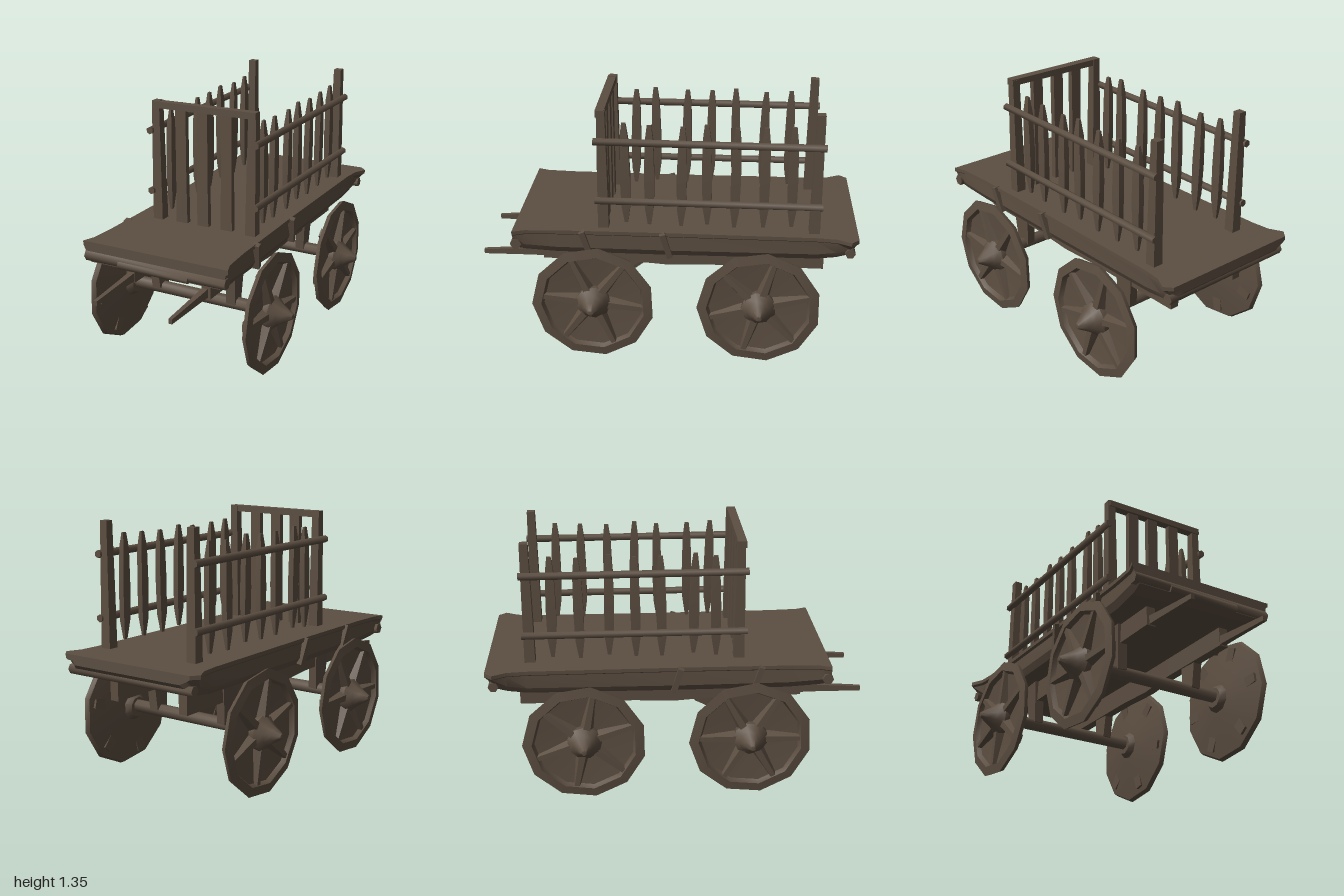
import * as THREE from 'three';
import { toCreasedNormals } from 'three/addons/utils/BufferGeometryUtils.js';

const wood = new THREE.MeshStandardMaterial({ color: 0x5c4e41 });
wood.name = 'dark weathered wood';

function add(parent, name, geometry, crease = 0.7) {
  const mesh = new THREE.Mesh(toCreasedNormals(geometry, crease), wood);
  mesh.name = name;
  parent.add(mesh);
  return mesh;
}

// Closed solid through equal-length outlines, each counter-clockwise seen from +z
function loft(sections) {
  const n = sections[0].length, last = sections.length - 1, index = [];
  for (let s = 0; s < last; s++) {
    for (let i = 0; i < n; i++) {
      const j = (i + 1) % n, a = s * n + i, b = s * n + j;
      index.push(a, b, b + n, a, b + n, a + n);
    }
  }
  for (let i = 1; i < n - 1; i++) {
    index.push(0, i + 1, i, last * n, last * n + i, last * n + i + 1);
  }
  const g = new THREE.BufferGeometry();
  g.setAttribute('position', new THREE.Float32BufferAttribute(sections.flat(2), 3));
  g.setIndex(index);
  return g;
}

// Timber between two points; stations are [position 0..1, width, depth]
function timber(parent, name, a, b, stations) {
  const start = new THREE.Vector3(...a), dir = new THREE.Vector3(...b).sub(start);
  const len = dir.length();
  const g = loft(stations.map(([t, w, d]) => [
    [-w / 2, -d / 2, t * len], [w / 2, -d / 2, t * len],
    [w / 2, d / 2, t * len], [-w / 2, d / 2, t * len],
  ]));
  g.applyQuaternion(new THREE.Quaternion().setFromUnitVectors(
    new THREE.Vector3(0, 0, 1), dir.normalize()));
  g.translate(...a);
  return add(parent, name, g, 0.5);
}

function pole(parent, name, a, b, r0, r1 = r0, sides = 6) {
  const p = new THREE.Vector3(...a), d = new THREE.Vector3(...b).sub(p);
  const g = new THREE.CylinderGeometry(r1, r0, d.length(), sides);
  g.applyQuaternion(new THREE.Quaternion().setFromUnitVectors(
    new THREE.Vector3(0, 1, 0), d.clone().normalize()));
  g.translate(...p.addScaledVector(d, 0.5).toArray());
  return add(parent, name, g, 1.2);
}

const lathe = (points, sides) =>
  new THREE.LatheGeometry(points.map(([r, h]) => new THREE.Vector2(r, h)), sides);

// Dished wheel with raised rim, spokes and pointed hub; local +y is outward
function makeWheel(side) {
  const wheel = new THREE.Group();
  wheel.name = 'wheel';
  add(wheel, 'dish and rim', lathe([
    [0, -0.055], [0.1, -0.05], [0.315, -0.012], [0.325, 0.012], [0.275, 0.02],
    [0.262, -0.004], [0.1, -0.02], [0, -0.02],
  ], 11), 0.6);
  add(wheel, 'hub', lathe([
    [0, -0.08], [0.055, -0.08], [0.09, -0.035], [0.093, 0.01],
    [0.06, 0.045], [0.038, 0.08], [0.014, 0.118], [0, 0.122],
  ], 9), 0.7);
  for (let i = 0; i < 6; i++) {
    const a = (i / 6) * Math.PI * 2 + 0.3, c = Math.cos(a), s = Math.sin(a);
    const spoke = loft([[0.06, 0.026, 0.02], [0.28, 0.017, 0.014]].map(([r, w, h]) => [
      [-w * 1.5, -0.03, r], [w * 1.5, -0.03, r], [w * 0.7, h, r], [-w * 0.7, h, r],
    ]));
    spoke.rotateY(Math.atan2(c, s));
    add(wheel, 'spoke', spoke, 0.5);
  }
  wheel.rotation.z = -side * Math.PI / 2;
  return wheel;
}

export function createModel() {
  const cart = new THREE.Group();
  cart.name = 'cart';

  // Bed: z, rim half width, side half width, underside height
  const bed = [
    [-0.99, 0.39, 0.35, 0.66], [-0.95, 0.425, 0.38, 0.615], [-0.88, 0.39, 0.37, 0.59],
    [-0.78, 0.38, 0.365, 0.575], [0, 0.375, 0.365, 0.57], [0.58, 0.38, 0.37, 0.575],
    [0.74, 0.39, 0.38, 0.59], [0.8, 0.412, 0.39, 0.605],
  ].map(([z, w, v, y]) => [
    [-v + 0.02, y, z], [v - 0.02, y, z], [v, y + 0.035, z], [w - 0.012, 0.683, z],
    [w, 0.692, z], [w, 0.712, z], [-w, 0.712, z], [-w, 0.692, z],
    [-w + 0.012, 0.683, z], [-v, y + 0.035, z],
  ]);
  add(cart, 'bed', loft(bed), 0.45);
  pole(cart, 'front end beam', [-0.4, 0.635, 0.785], [0.4, 0.635, 0.785], 0.03);
  pole(cart, 'front handle bar', [-0.2, 0.623, 0.8], [0.2, 0.623, 0.8], 0.022);
  pole(cart, 'rear end beam', [-0.39, 0.63, -0.95], [0.39, 0.63, -0.95], 0.027);

  for (const side of [-1, 1]) {
    // Straps on the sides of the bed
    for (const z of [0.42, 0]) {
      timber(cart, 'side strap', [side * 0.365, 0.57, z - 0.02], [side * 0.382, 0.71, z + 0.02],
        [[0, 0.035, 0.03], [1, 0.035, 0.03]]);
    }
    // Undercarriage and pulling shafts
    timber(cart, 'under beam', [side * 0.22, 0.515, -0.83], [side * 0.22, 0.525, 0.67],
      [[0, 0.05, 0.11], [0.4, 0.05, 0.11], [0.55, 0.05, 0.13], [0.7, 0.05, 0.1], [1, 0.05, 0.1]]);
    timber(cart, 'shaft', [side * 0.215, 0.51, 0.55], [side * 0.212, 0.49, 1],
      [[0, 0.04, 0.06], [0.4, 0.03, 0.04], [1, 0.02, 0.025]]);
    for (const z of [0.38, -0.49]) {
      timber(cart, 'axle brace', [side * 0.222, 0.34, z], [side * 0.235, 0.58, z],
        [[0, 0.05, 0.08], [1, 0.05, 0.12]]);
    }
  }

  // Axles and wheels
  for (const z of [0.38, -0.49]) {
    pole(cart, 'axle', [-0.4, 0.335, z], [0.4, 0.335, z], 0.034, 0.034, 7);
    for (const side of [-1, 1]) {
      const wheel = makeWheel(side);
      wheel.position.set(side * 0.445, 0.328, z);
      wheel.rotation.x = z + side;
      wheel.rotation.order = 'ZXY';
      wheel.rotation.set(0, z * 2 + side, -side * Math.PI / 2);
      cart.add(wheel);
    }
  }

  // Side fences: corner posts, two rails and pointed pales
  const cage = new THREE.Group();
  cage.name = 'cage';
  cart.add(cage);
  const post = [[0, 0.056, 0.056], [0.5, 0.05, 0.05], [1, 0.042, 0.042]];
  const pale = [[0, 0.012, 0.018], [0.18, 0.03, 0.046], [0.5, 0.032, 0.052],
    [0.85, 0.03, 0.042], [1, 0.012, 0.022]];
  for (const side of [-1, 1]) {
    const x = 0.031 + side * 0.274;
    timber(cage, 'front post', [x - side * 0.002, 0.7, 0.33], [x + side * 0.002, 1.352, 0.33], post);
    timber(cage, 'rear post', [x, 0.7, -0.765], [x, 1.357, -0.765], post);
    for (const [y, dy] of [[1.195, -0.006], [0.868, -0.004]]) {
      pole(cage, 'side rail', [x + side * 0.03, y + dy, -0.8], [x + side * 0.03, y, 0.37], 0.02, 0.02);
    }
    [0.21, 0.09, -0.075, -0.21, -0.35, -0.5, -0.645].forEach((z, i) => {
      const tilt = 0.008 * Math.sin(i * 2.3 + side);
      const g = loft(pale.map(([t, w, d]) => [
        [-w / 2, -d / 2, t * 0.55], [w / 2, -d / 2, t * 0.55],
        [w / 2, d / 2, t * 0.55], [-w / 2, d / 2, t * 0.55],
      ]));
      g.rotateX(-Math.PI / 2 + tilt * 2);
      g.translate(x, 0.73 + tilt, z);
      add(cage, 'side pale', g, 0.5);
    });
  }

  // Front panel: top bar and upright slats
  timber(cage, 'front top bar', [-0.26, 1.333, 0.335], [0.33, 1.34, 0.335],
    [[0, 0.045, 0.034], [1, 0.045, 0.034]]);
  for (const x of [-0.103, 0.022, 0.16]) {
    timber(cage, 'front slat', [x, 0.7, 0.33], [x, 1.33, 0.33],
      [[0, 0.066, 0.03], [0.5, 0.06, 0.03], [1, 0.062, 0.03]]);
  }
  return cart;
}
